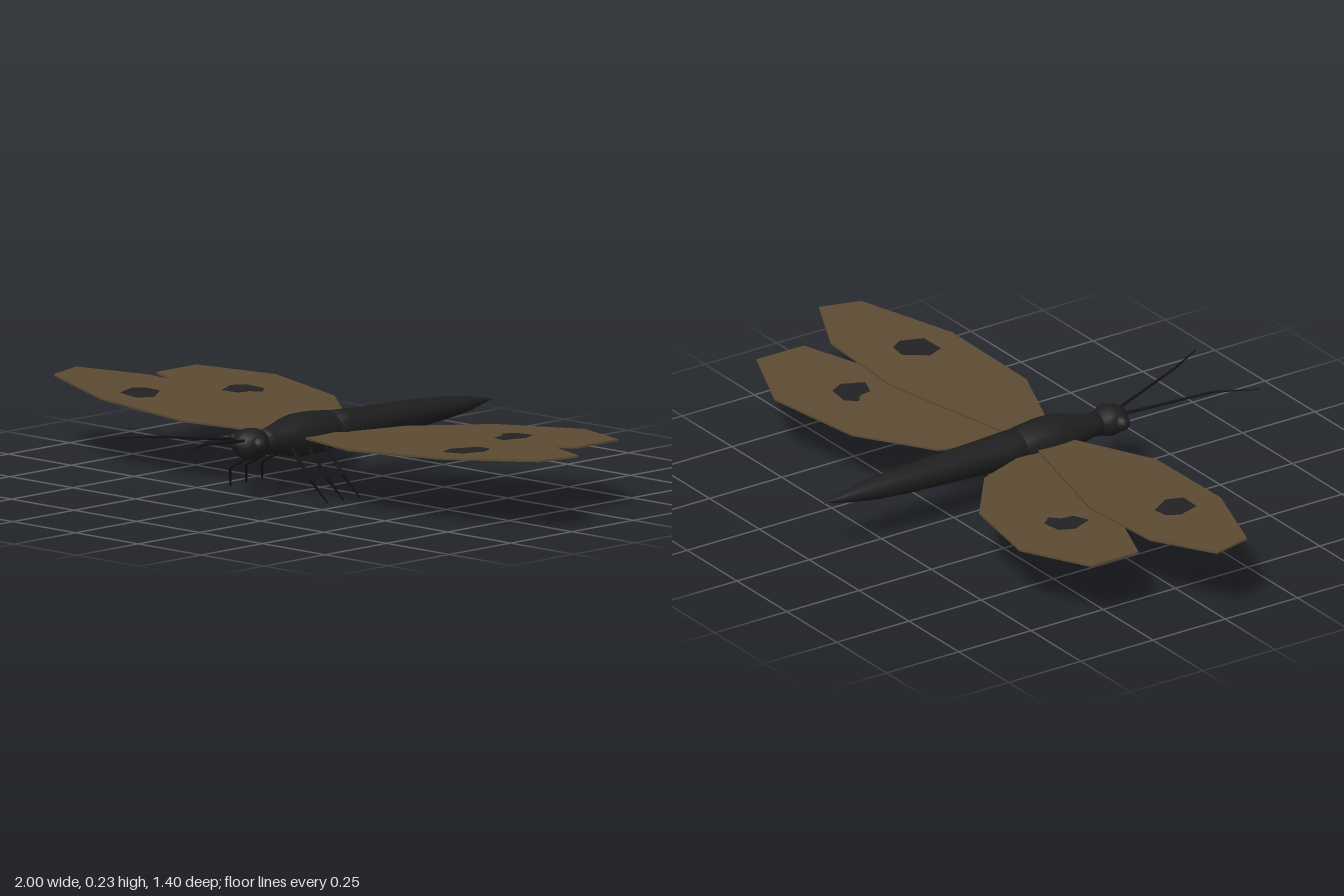
import * as THREE from 'three';

const AXIS_Y = 0.165; // height of the body's axis

export function createModel() {
  const black = new THREE.MeshStandardMaterial({ color: 0x1e1e1e });
  black.name = 'body black';
  const limb = new THREE.MeshStandardMaterial({ color: 0x121212 });
  limb.name = 'limb black';
  const brown = new THREE.MeshStandardMaterial({ color: 0x5c4a32 });
  brown.name = 'wing brown';
  const spot = new THREE.MeshStandardMaterial({ color: 0x222222 });
  spot.name = 'spot grey';

  const model = new THREE.Group();
  model.name = 'insect';

  function add(name, geometry, material, x = 0, y = 0, z = 0) {
    const mesh = new THREE.Mesh(geometry, material);
    mesh.name = name;
    mesh.position.set(x, y, z);
    model.add(mesh);
    return mesh;
  }

  // Turned part along z, from [radius, z] pairs running back to front
  function turned(name, profile) {
    const geometry = new THREE.LatheGeometry(profile.map(([r, z]) => new THREE.Vector2(r, z)), 14);
    geometry.rotateX(Math.PI / 2);
    geometry.scale(1, 0.92, 1);
    return add(name, geometry, black, 0, AXIS_Y, 0);
  }

  // Tapered rod between two points
  function rod(name, a, b, r1, r2) {
    const from = new THREE.Vector3(...a), to = new THREE.Vector3(...b);
    const dir = to.clone().sub(from);
    const geometry = new THREE.CylinderGeometry(r2, r1, dir.length(), 6);
    const mesh = add(name, geometry, limb);
    mesh.position.copy(from).add(to).multiplyScalar(0.5);
    mesh.quaternion.setFromUnitVectors(new THREE.Vector3(0, 1, 0), dir.normalize());
  }

  // Flat plate from [x, z] outline, rising towards the wing tip
  function plate(name, outline, side, y, thickness, material) {
    const shape = new THREE.Shape(outline.map(([x, z]) => new THREE.Vector2(side * x, -z)));
    const geometry = new THREE.ExtrudeGeometry(shape, { depth: thickness, bevelEnabled: false });
    geometry.rotateX(-Math.PI / 2);
    const p = geometry.attributes.position;
    for (let i = 0; i < p.count; i++) {
      p.setY(i, p.getY(i) - thickness / 2 + 0.052 * Math.abs(p.getX(i)));
    }
    geometry.computeVertexNormals();
    add(name, geometry, material, 0, y, 0);
  }

  // Abdomen, thorax and head
  turned('abdomen', [
    [0, -0.7], [0.012, -0.65], [0.023, -0.6], [0.036, -0.51], [0.043, -0.42],
    [0.048, -0.3], [0.052, -0.18], [0.057, -0.08], [0.06, 0.0], [0, 0.03],
  ]);
  turned('thorax', [
    [0, -0.1], [0.045, -0.08], [0.062, -0.02], [0.069, 0.05], [0.068, 0.1],
    [0.058, 0.15], [0.045, 0.19], [0.038, 0.22], [0.038, 0.26], [0, 0.27],
  ]);
  turned('head', [
    [0, 0.23], [0.035, 0.24], [0.046, 0.265], [0.05, 0.29],
    [0.045, 0.315], [0.03, 0.335], [0, 0.345],
  ]);

  const foreWing = [
    [0.02, 0.1], [0.06, 0.125], [0.326, 0.227], [0.674, 0.21], [0.968, 0.098],
    [1, -0.027], [0.8, -0.123], [0.5, -0.123], [0.06, 0.0], [0.02, 0.02],
  ];
  const hindWing = [
    [0.02, 0.03], [0.06, 0.01], [0.5, -0.11], [0.67, -0.12], [0.84, -0.19],
    [0.84, -0.353], [0.615, -0.447], [0.32, -0.383], [0.117, -0.225], [0.04, -0.03],
  ];
  const foreSpot = [
    [0.59, 0.075], [0.635, 0.008], [0.685, 0.014], [0.706, 0.05], [0.683, 0.118], [0.61, 0.125],
  ];
  const hindSpot = [
    [0.476, -0.25], [0.503, -0.283], [0.567, -0.278], [0.588, -0.235],
    [0.56, -0.17], [0.51, -0.187], [0.505, -0.225],
  ];

  for (const side of [1, -1]) {
    const label = side > 0 ? 'left' : 'right';

    // Wings with a spot that shows on both faces
    plate(label + 'ForeWing', foreWing, side, 0.163, 0.006, brown);
    plate(label + 'ForeWingSpot', foreSpot, side, 0.163, 0.0095, spot);
    plate(label + 'HindWing', hindWing, side, 0.155, 0.006, brown);
    plate(label + 'HindWingSpot', hindSpot, side, 0.155, 0.0095, spot);

    // Eyes
    add(label + 'Eye', new THREE.SphereGeometry(0.023, 12, 8), black, side * 0.047, AXIS_Y + 0.005, 0.3);

    // Antennae
    const bend = [side * 0.097, 0.212, 0.585];
    rod(label + 'AntennaBase', [side * 0.015, 0.18, 0.32], bend, 0.005, 0.0035);
    rod(label + 'AntennaTip', bend, [side * 0.16, 0.214, 0.698], 0.0035, 0.0015);

    // Three pairs of legs
    for (let i = 0; i < 3; i++) {
      const z = 0.17 - i * 0.065;
      const knee = [side * 0.162, 0.066, z + 0.034];
      rod(label + 'UpperLeg' + (i + 1), [side * 0.04, 0.138, z - 0.012], knee, 0.006, 0.005);
      rod(label + 'LowerLeg' + (i + 1), knee, [side * 0.194, 0.002, z], 0.005, 0.0025);
    }
  }

  return model;
}
